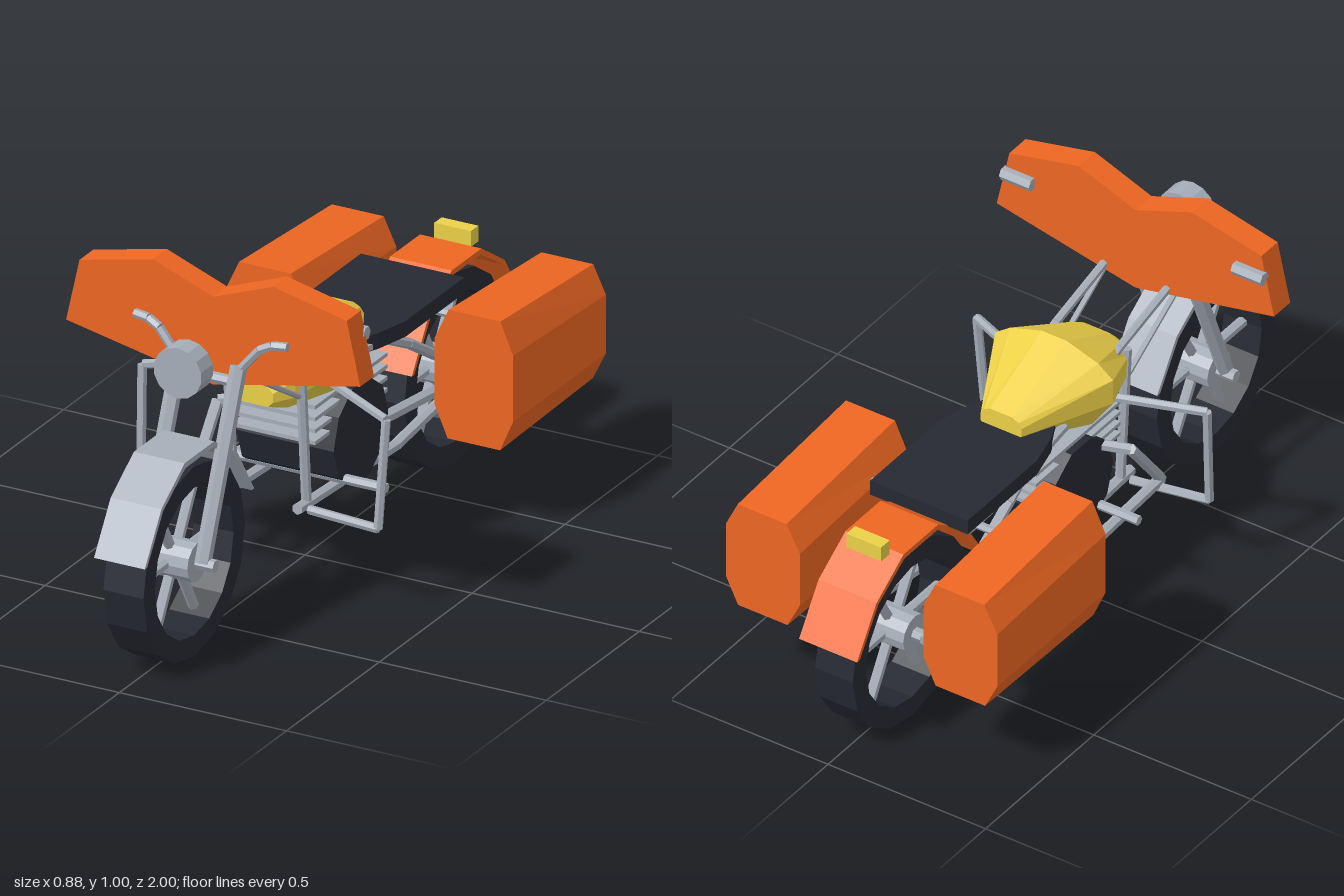
import * as THREE from 'three';

const mat = (color) => new THREE.MeshStandardMaterial({ color, flatShading: true });
const orange = mat(0xee6622), yellow = mat(0xecd048), dark = mat(0x262932), grey = mat(0xa6aeb9);
const V = (p) => new THREE.Vector3(...p);

export function createModel() {
  const model = new THREE.Group();

  const add = (name, geo, material, parent = model) => {
    const mesh = new THREE.Mesh(geo, material);
    mesh.name = name;
    parent.add(mesh);
    return mesh;
  };

  // Straight bar between two points, r2 at the far end
  const rod = (name, a, b, r, parent = model, r2 = r, sides = 6) => {
    const from = V(a), dir = V(b).sub(from);
    const mesh = add(name, new THREE.CylinderGeometry(r2, r, dir.length(), sides), grey, parent);
    mesh.position.copy(from).addScaledVector(dir, 0.5);
    mesh.quaternion.setFromUnitVectors(new THREE.Vector3(0, 1, 0), dir.normalize());
    return mesh;
  };

  // Chain of bars through several points
  const pipe = (name, points, r) => {
    const group = new THREE.Group();
    group.name = name;
    model.add(group);
    for (let i = 1; i < points.length; i++) rod(name + 'Bar', points[i - 1], points[i], r, group);
  };
  const pipePair = (name, points, r) => {
    pipe('left' + name, points, r);
    pipe('right' + name, points.map(([x, y, z]) => [-x, y, z]), r);
  };

  // Solid through rings of [x, y] points, each at its own z (rising)
  const loft = (rings) => {
    const n = rings[0].pts.length, last = (rings.length - 1) * n;
    const pos = rings.flatMap(({ z, pts }) => pts.flatMap(([x, y]) => [x, y, z]));
    const idx = [];
    for (let i = 0; i < last; i += n) {
      for (let j = 0; j < n; j++) {
        const k = (j + 1) % n;
        idx.push(i + j, i + k, i + n + k, i + j, i + n + k, i + n + j);
      }
    }
    for (let j = 1; j < n - 1; j++) idx.push(0, j + 1, j, last, last + j, last + j + 1);
    const geo = new THREE.BufferGeometry();
    geo.setAttribute('position', new THREE.Float32BufferAttribute(pos, 3));
    geo.setIndex(idx);
    geo.computeVertexNormals();
    return geo;
  };

  const extrude = (pts, depth) => new THREE.ExtrudeGeometry(
    new THREE.Shape(pts.map((p) => new THREE.Vector2(...p))), { depth, bevelEnabled: false });

  // Wheels: square-section tyre, hub and six spokes
  const makeWheel = (name, z) => {
    const wheel = new THREE.Group();
    wheel.name = name;
    wheel.position.set(0, 0.273, z);
    const profile = [[0.273, -0.06], [0.273, 0.06], [0.212, 0.06], [0.212, -0.06], [0.273, -0.06]];
    add('tyre', new THREE.LatheGeometry(profile.map((p) => new THREE.Vector2(...p)), 16)
      .rotateZ(Math.PI / 2), dark, wheel);
    rod('hub', [-0.07, 0, 0], [0.07, 0, 0], 0.055, wheel, 0.055, 12);
    rod('axle', [-0.125, 0, 0], [0.125, 0, 0], 0.018, wheel);
    for (let i = 0; i < 6; i++) {
      const a = i * Math.PI / 3;
      rod('spoke', [0, 0, 0], [0, 0.22 * Math.sin(a), 0.22 * Math.cos(a)], 0.015, wheel);
    }
    model.add(wheel);
  };
  makeWheel('frontWheel', 0.705);
  makeWheel('rearWheel', -0.7);

  // Thin bent mudguards, [z, y] outline relative to the axle
  const arc = [[0.295, 0.37], [0.205, 0.508], [0.08, 0.59], [-0.08, 0.59], [-0.205, 0.508], [-0.295, 0.37]];
  const inner = arc.map(([z, y]) => [z * 0.955, 0.37 + (y - 0.37) * 0.93]).reverse();
  const makeGuard = (name, z, halfWidth, material) => {
    const geo = extrude([...arc, ...inner], 2 * halfWidth);
    geo.translate(0, 0, -halfWidth).rotateY(-Math.PI / 2);
    add(name, geo, material).position.z = z;
  };
  makeGuard('frontMudguard', 0.705, 0.076, grey);
  makeGuard('rearMudguard', -0.705, 0.092, orange);

  // Fairing
  const half = [[0.44, 0.775], [0.4, 0.955], [0.18, 1.005]];
  const mirrored = half.map(([x, y]) => [-x, y]).reverse();
  add('fairing', extrude([[0, 0.685], ...half, [0, 0.937], ...mirrored], 0.075), orange).position.z = 0.42;
  pipePair('Grip', [[0.32, 0.89, 0.413], [0.415, 0.89, 0.413]], 0.02);

  // Headlight, fork and handlebar
  rod('headlight', [0, 0.793, 0.623], [0, 0.793, 0.687], 0.072, model, 0.072, 14);
  pipePair('Fork', [[0.088, 0.275, 0.71], [0.088, 0.765, 0.515]], 0.023);
  pipePair('Handlebar', [[0.088, 0.75, 0.52], [0.15, 0.825, 0.515], [0.185, 0.842, 0.51], [0.228, 0.845, 0.505]], 0.013);
  rod('forkYoke', [-0.1, 0.72, 0.52], [0.1, 0.72, 0.52], 0.015);

  // Fuel tank, half sections from bottom to top
  const tankRing = (z, pts) => ({ z, pts: [...pts, ...pts.map(([x, y]) => [-x, y]).reverse()] });
  add('fuelTank', loft([
    tankRing(-0.2, [[0.04, 0.58], [0.065, 0.605], [0.065, 0.63], [0.055, 0.645], [0.035, 0.655]]),
    tankRing(0.045, [[0.12, 0.52], [0.187, 0.615], [0.187, 0.69], [0.14, 0.725], [0.04, 0.757]]),
    tankRing(0.24, [[0.08, 0.535], [0.105, 0.57], [0.105, 0.62], [0.08, 0.65], [0.04, 0.665]]),
    tankRing(0.29, [[0.05, 0.55], [0.065, 0.565], [0.065, 0.59], [0.05, 0.605], [0.03, 0.615]]),
  ]), yellow);

  // Seat
  const seat = extrude([[0.155, -0.58], [0.155, -0.26], [0.13, -0.16], [0.09, -0.07],
    [-0.09, -0.07], [-0.13, -0.16], [-0.155, -0.26], [-0.155, -0.58]], 0.045);
  add('seat', seat.rotateX(Math.PI / 2), dark).position.y = 0.602;

  // Engine and cooling fins
  const engine = add('engine', new THREE.CylinderGeometry(0.147, 0.147, 0.29, 10).rotateZ(Math.PI / 2), dark);
  engine.position.set(0, 0.37, -0.04);
  for (let i = 0; i < 4; i++) {
    add('coolingFin', new THREE.BoxGeometry(0.25, 0.011, 0.39), grey).position.set(0, 0.415 + i * 0.034, -0.025);
  }

  // Frame
  pipePair('TopTube', [[0.1, 0.735, 0.47], [0.1, 0.665, 0.2], [0.1, 0.56, -0.08]], 0.012);
  pipePair('HeadBrace', [[0.11, 0.71, 0.46], [0.11, 0.57, 0.23]], 0.008);
  pipePair('DownTube', [[0.11, 0.655, 0.22], [0.11, 0.25, 0.19]], 0.014);
  pipePair('BottomRail', [[0.11, 0.25, 0.24], [0.11, 0.225, -0.29], [0.11, 0.275, -0.7]], 0.016);
  pipePair('SwingArm', [[0.11, 0.34, -0.12], [0.115, 0.275, -0.72]], 0.018);
  pipePair('SeatRail', [[0.11, 0.58, -0.07], [0.11, 0.55, -0.24], [0.12, 0.5, -0.34], [0.12, 0.275, -0.7]], 0.015);
  pipePair('PannierMount', [[0.08, 0.53, -0.5], [0.21, 0.53, -0.5]], 0.012);

  // Crash bars and foot pegs
  pipePair('CrashBar', [[0.13, 0.575, 0.11], [0.365, 0.555, 0.22], [0.355, 0.25, 0.245], [0.13, 0.242, 0.21]], 0.013);
  rod('footPegs', [-0.27, 0.268, 0.045], [0.27, 0.268, 0.045], 0.014);

  // Exhaust on the right side
  pipe('exhaustPipe', [[-0.13, 0.45, 0.06], [-0.205, 0.44, 0.1], [-0.205, 0.26, 0.24], [-0.205, 0.235, -0.2]], 0.016);
  rod('muffler', [-0.207, 0.235, -0.18], [-0.185, 0.31, -0.65], 0.028, model, 0.036);

  // Panniers, tapering to the rear
  const box = [[0.235, 0.25], [0.392, 0.25], [0.431, 0.34], [0.431, 0.53], [0.393, 0.62],
    [0.238, 0.62], [0.196, 0.53], [0.196, 0.34]];
  const rear = box.map(([x, y]) => [x, 0.26 + (y - 0.25) * 0.885]);
  for (const [name, cx] of [['leftPannier', 0], ['rightPannier', -0.627]]) {
    add(name, loft([{ z: -0.845, pts: rear }, { z: -0.345, pts: box }]), orange).position.x = cx;
  }

  // Tail light
  add('tailLight', new THREE.BoxGeometry(0.11, 0.045, 0.04), yellow).position.set(0, 0.605, -0.815);

  return model;
}
